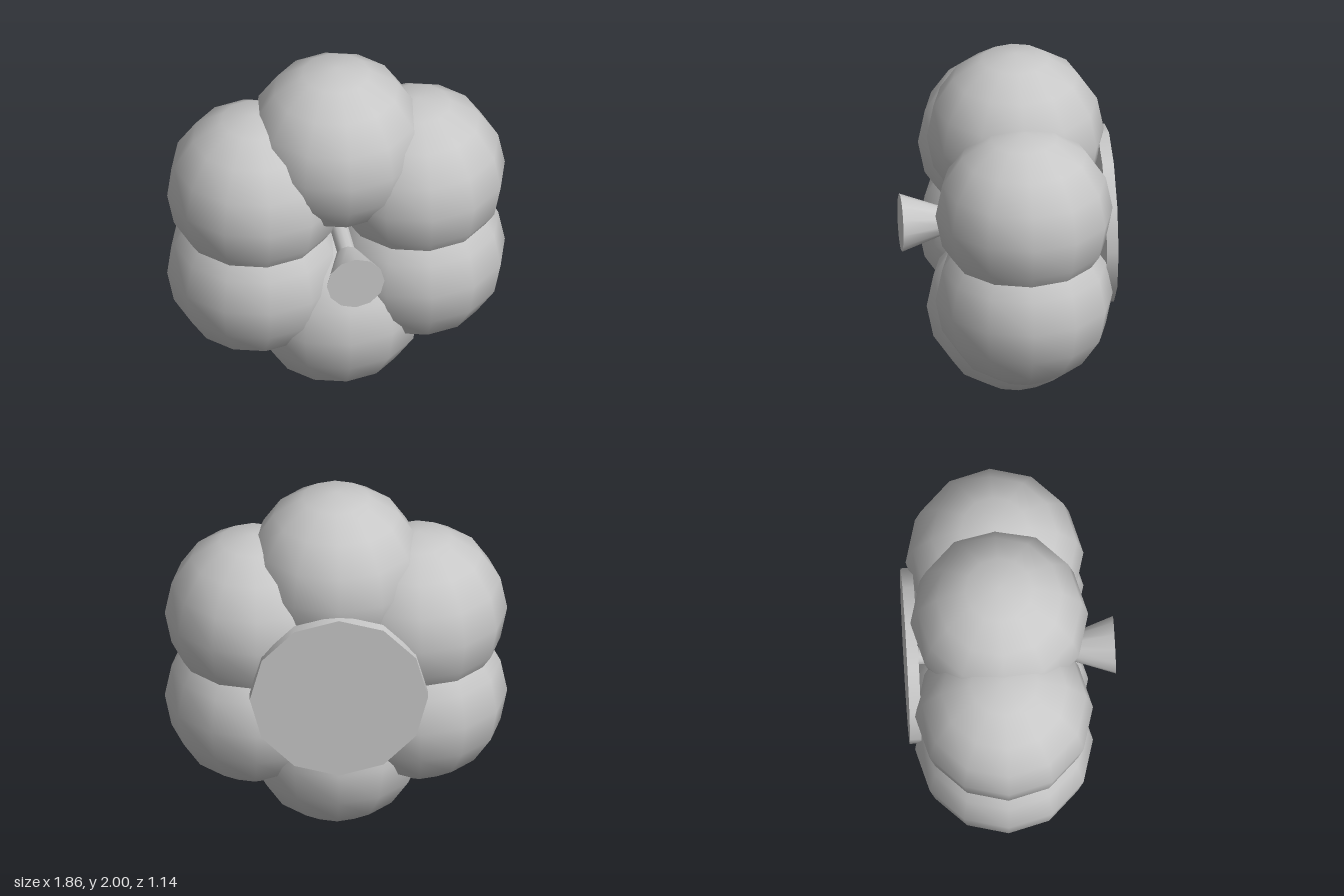
import * as THREE from 'three';

export function createModel() {
  const group = new THREE.Group();
  const grey = new THREE.MeshStandardMaterial({ color: 0xc8c8c8 });
  grey.name = 'plain grey';

  const add = (name, geometry, x, y, z) => {
    const mesh = new THREE.Mesh(geometry, grey);
    mesh.name = name;
    mesh.position.set(x, y, z);
    group.add(mesh);
  };

  // Twelve-sided cylinder along z, from back to front
  const addRod = (name, frontRadius, backRadius, back, front) => {
    const geometry = new THREE.CylinderGeometry(frontRadius, backRadius, front - back, 12);
    geometry.rotateX(Math.PI / 2);
    add(name, geometry, 0, 1, (back + front) / 2);
  };

  // Ring of six round lobes, all with upright poles
  const lobeRadius = 0.484;
  const ringRadius = 0.516;
  const lobe = new THREE.SphereGeometry(lobeRadius, 12, 8);
  for (let i = 0; i < 6; i++) {
    const angle = Math.PI / 2 + (i * Math.PI) / 3;
    add(`lobe${i + 1}`, lobe, ringRadius * Math.cos(angle), 1 + ringRadius * Math.sin(angle), -0.057);
  }

  // Flared front knob on a thin shaft, and the disc behind the ring
  addRod('frontKnob', 0.159, 0.07, 0.32, 0.57);
  addRod('shaft', 0.05, 0.05, -0.52, 0.33);
  addRod('backPlate', 0.485, 0.485, -0.57, -0.507);

  return group;
}
